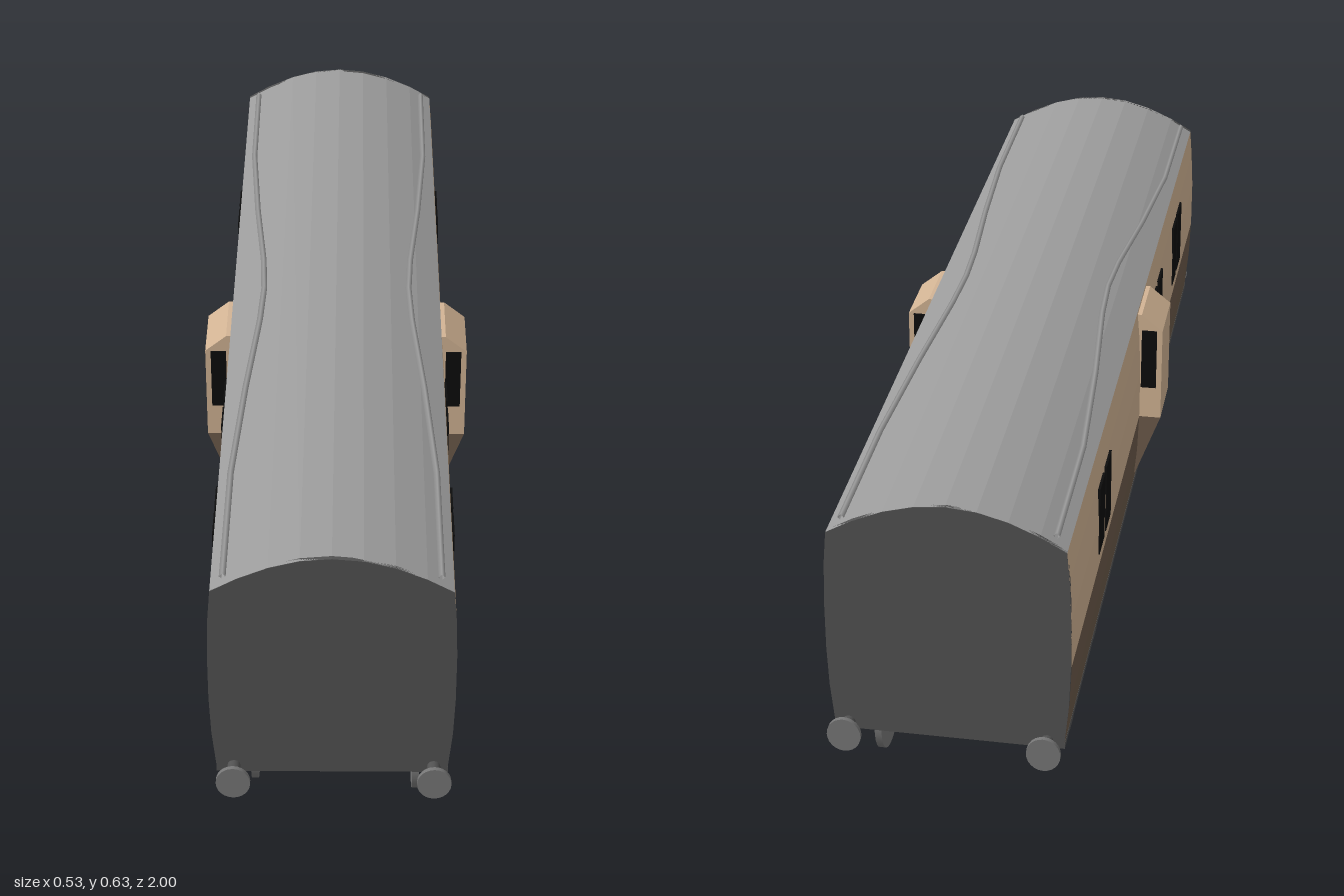
import * as THREE from 'three';

const mat = (name, color, side = THREE.FrontSide) => {
  const m = new THREE.MeshStandardMaterial({ color, side });
  m.name = name;
  return m;
};

export function createModel() {
  const root = new THREE.Group();
  root.name = 'railwayCoach';
  const D = THREE.DoubleSide;
  const cream = mat('cream', 0xd2b494, D);
  const brown = mat('brown', 0x6c5a4a, D);
  const roofGrey = mat('roofGrey', 0x9c9c9c, D);
  const darkGrey = mat('darkGrey', 0x525252, D);
  const steel = mat('steel', 0x777777);
  const black = mat('black', 0x0c0c0c);

  const add = (name, geo, material, x = 0, y = 0, z = 0, parent = root) => {
    const m = new THREE.Mesh(geo, material);
    m.name = name;
    m.position.set(x, y, z);
    parent.add(m);
    return m;
  };
  // Box given by its limits on each axis
  const box = (name, material, x0, x1, y0, y1, z0, z1, parent) =>
    add(name, new THREE.BoxGeometry(Math.abs(x1 - x0), y1 - y0, z1 - z0), material,
      (x0 + x1) / 2, (y0 + y1) / 2, (z0 + z1) / 2, parent);
  // Prism along z from a 2D outline
  const prism = (name, material, pts, z0, z1) =>
    add(name, new THREE.ExtrudeGeometry(new THREE.Shape(pts.map(p => new THREE.Vector2(...p))),
      { depth: z1 - z0, bevelEnabled: false }), material, 0, 0, z0);
  // Open skin swept along z, points running anticlockwise seen from the front
  const skin = (name, material, pts, z0, z1) => {
    const v = [];
    for (let i = 0; i < pts.length - 1; i++) {
      const [a, b] = [pts[i], pts[i + 1]];
      v.push(...a, z1, ...a, z0, ...b, z0, ...a, z1, ...b, z0, ...b, z1);
    }
    const g = new THREE.BufferGeometry();
    g.setAttribute('position', new THREE.Float32BufferAttribute(v, 3));
    g.computeVertexNormals();
    add(name, g, material);
  };
  const mirror = pts => pts.map(([x, y]) => [-x, y]).reverse();
  const rod = (name, material, pts, r) =>
    add(name, new THREE.TubeGeometry(new THREE.CatmullRomCurve3(
      pts.map(p => new THREE.Vector3(...p)), false, 'catmullrom', 0), 48, r, 4), material);

  // Body shell
  const Z0 = -0.955, Z1 = 0.95;
  const lower = [[0.209, 0.155], [0.217, 0.24], [0.22, 0.32]];
  const upper = [[0.22, 0.32], [0.22, 0.42], [0.217, 0.5], [0.212, 0.56]];
  const roofHalf = [[0.212, 0.56], [0.165, 0.587], [0.11, 0.611], [0.055, 0.626], [0, 0.631]];
  const roof = [...roofHalf, ...mirror(roofHalf).slice(1)];
  skin('lowerSideLeft', brown, lower, Z0, Z1);
  skin('lowerSideRight', brown, mirror(lower), Z0, Z1);
  skin('upperSideLeft', cream, upper, Z0, Z1);
  skin('upperSideRight', cream, mirror(upper), Z0, Z1);
  skin('roof', roofGrey, roof, Z0, Z1);
  const half = [...lower, ...upper.slice(1)];
  const outline = [...half, ...roof.slice(1, -1), ...mirror(half)];
  prism('frontEnd', darkGrey, outline, Z1 - 0.008, Z1 + 0.001);
  prism('backEnd', darkGrey, outline, Z0 - 0.001, Z0 + 0.008);
  box('underframe', darkGrey, -0.21, 0.21, 0.148, 0.16, Z0, Z1);

  for (const s of [1, -1]) {
    const flip = pts => pts.map(([x, y]) => [s * x, y]);
    // Side windows in pairs
    for (const [a, b] of [[0.62, 0.69], [0.54, 0.603], [0.27, 0.335], [0.175, 0.245],
      [-0.535, -0.47], [-0.62, -0.555]])
      box('sideWindow', black, s * 0.2155, s * 0.222, 0.35, 0.49, a, b);

    // Guard's lookout bulging from the side
    prism('lookoutUpper', cream,
      flip([[0.216, 0.32], [0.264, 0.32], [0.264, 0.52], [0.221, 0.555], [0.21, 0.555]]), -0.025, 0.11);
    prism('lookoutLower', brown, flip([[0.21, 0.18], [0.214, 0.185], [0.264, 0.32], [0.212, 0.32]]), -0.025, 0.11);
    for (const z of [0.111, -0.026])
      box('lookoutWindow', black, s * 0.222, s * 0.253, 0.39, 0.52, z - 0.002, z + 0.002);

    // Rain strip curving up over the roof
    rod('rainStrip', roofGrey, [[0.19, 0.577, 0.93], [0.189, 0.578, 0.62], [0.172, 0.588, 0.35],
      [0.152, 0.599, 0.12], [0.147, 0.602, 0], [0.152, 0.599, -0.12], [0.172, 0.588, -0.35],
      [0.189, 0.578, -0.62], [0.19, 0.577, -0.93]].map(([x, y, z]) => [s * x, y, z]), 0.006);

    // Truss rod below the floor
    rod('trussRod', darkGrey, [[0.38, 0.15], [0.1, 0.085], [-0.06, 0.085], [-0.29, 0.15]]
      .map(([z, y]) => [s * 0.175, y, z]), 0.009);

    // Buffers
    for (const e of [1, -1]) {
      const x = s > 0 ? 0.184 : -0.178;
      add('bufferShank', new THREE.CylinderGeometry(0.012, 0.012, 0.05, 12), darkGrey,
        x, 0.163, e * 0.97).rotation.x = Math.PI / 2;
      const head = add('bufferHead', new THREE.CylinderGeometry(0.031, 0.031, 0.008, 24), steel, x, 0.163, e * 0.996);
      head.rotation.x = Math.PI / 2;
      head.scale.z = 1.1;
    }
  }

  // Gas cylinder
  add('gasCylinder', new THREE.CylinderGeometry(0.054, 0.054, 0.225, 24), darkGrey,
    0.1, 0.104, 0.212).rotation.x = Math.PI / 2;

  // Bogies: frame limits, then axle positions on the left and right
  const bogies = [
    { z0: 0.41, z1: 0.875, left: [0.485, 0.797], right: [0.485, 0.772] },
    { z0: -0.855, z1: -0.385, left: [-0.461, -0.782], right: [-0.478, -0.782] },
  ];
  for (const { z0, z1, left, right } of bogies) {
    const g = new THREE.Group();
    g.name = 'bogie';
    g.position.x = 0.004;
    root.add(g);
    box('bogieBody', steel, -0.085, 0.085, 0.055, 0.126, z0 + 0.03, z1 - 0.03, g);
    box('bogiePivot', darkGrey, -0.06, 0.06, 0.126, 0.15, (z0 + z1) / 2 - 0.06, (z0 + z1) / 2 + 0.06, g);
    for (const s of [1, -1]) {
      box('bogieFrame', darkGrey, s * 0.118, s * 0.184, 0.096, 0.15, z0, z1, g);
      for (const z of s > 0 ? left : right) {
        add('wheel', new THREE.CylinderGeometry(0.083, 0.083, 0.013, 32), steel,
          s * 0.15, 0.083, z, g).rotation.z = Math.PI / 2;
        add('axle', new THREE.CylinderGeometry(0.01, 0.01, 0.07, 10), darkGrey,
          s * 0.115, 0.095, z, g).rotation.z = Math.PI / 2;
        box('axleBox', darkGrey, s * 0.166, s * 0.2, 0.076, 0.104, z - 0.018, z + 0.022, g);
      }
    }
  }
  return root;
}
